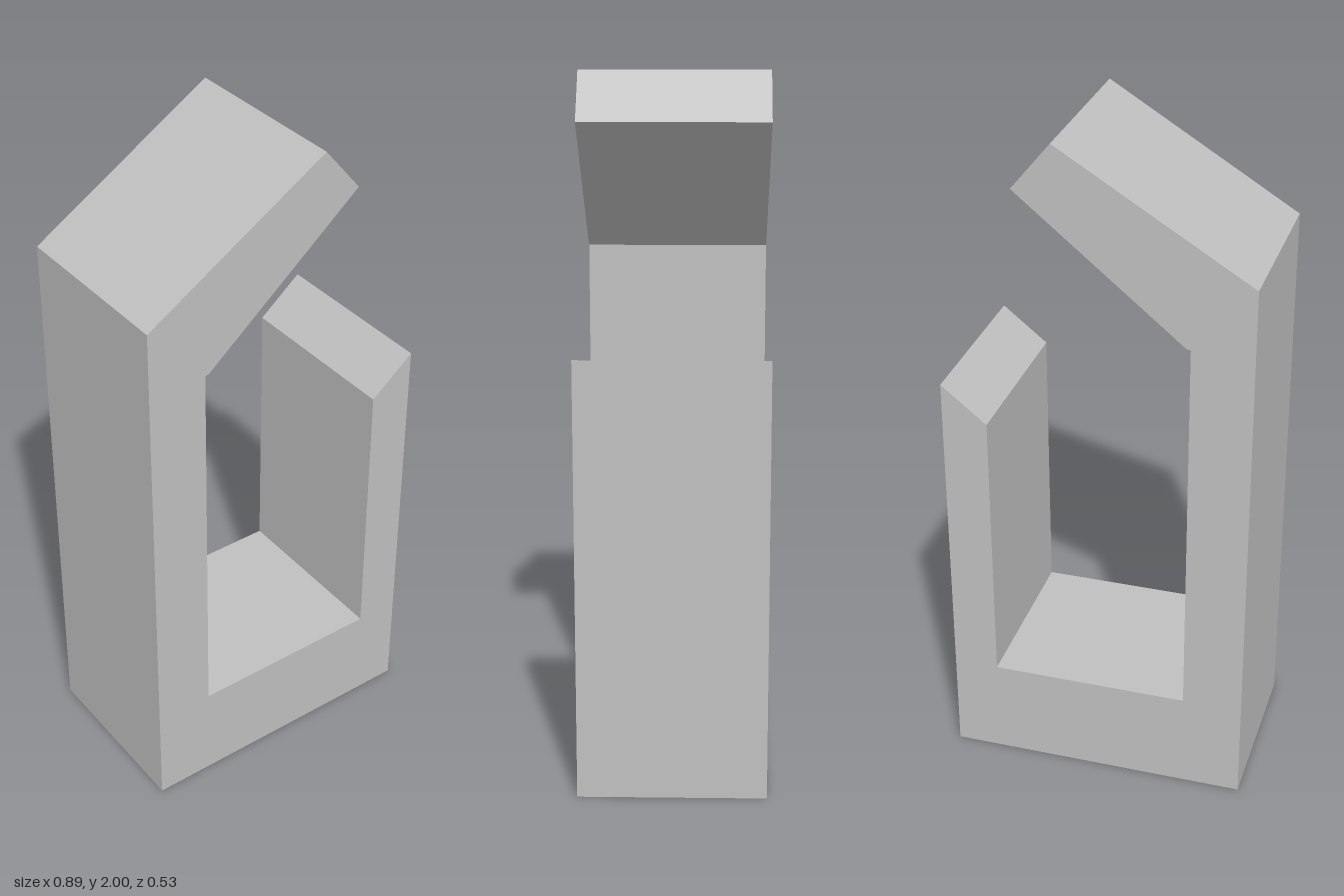
import * as THREE from 'three';

export function createModel() {
  const group = new THREE.Group();
  group.name = 'openHook';

  const grey = new THREE.MeshStandardMaterial({ color: 0xc0c0c0 });
  grey.name = 'grey';

  // Side profile: base, short post, tall post and slanted arm in one outline
  const outline = [
    [-0.448, 0], [0.446, 0],
    [0.446, 1.255], [0.313, 1.147], // short post with bevelled tip
    [0.313, 0.3], [-0.272, 0.3],    // inner floor
    [-0.272, 1.465], [-0.26, 1.468], // inner corner under the arm
    [0.22, 1.865], [0.108, 2],      // squared arm end
    [-0.448, 1.66],
  ];
  const shape = new THREE.Shape(outline.map(([x, y]) => new THREE.Vector2(x, y)));

  // Extruded through the depth and centred on z
  const depth = 0.534;
  const geometry = new THREE.ExtrudeGeometry(shape, { depth, bevelEnabled: false });
  geometry.translate(0, 0, -depth / 2);

  const body = new THREE.Mesh(geometry, grey);
  body.name = 'hookBody';
  group.add(body);
  return group;
}
